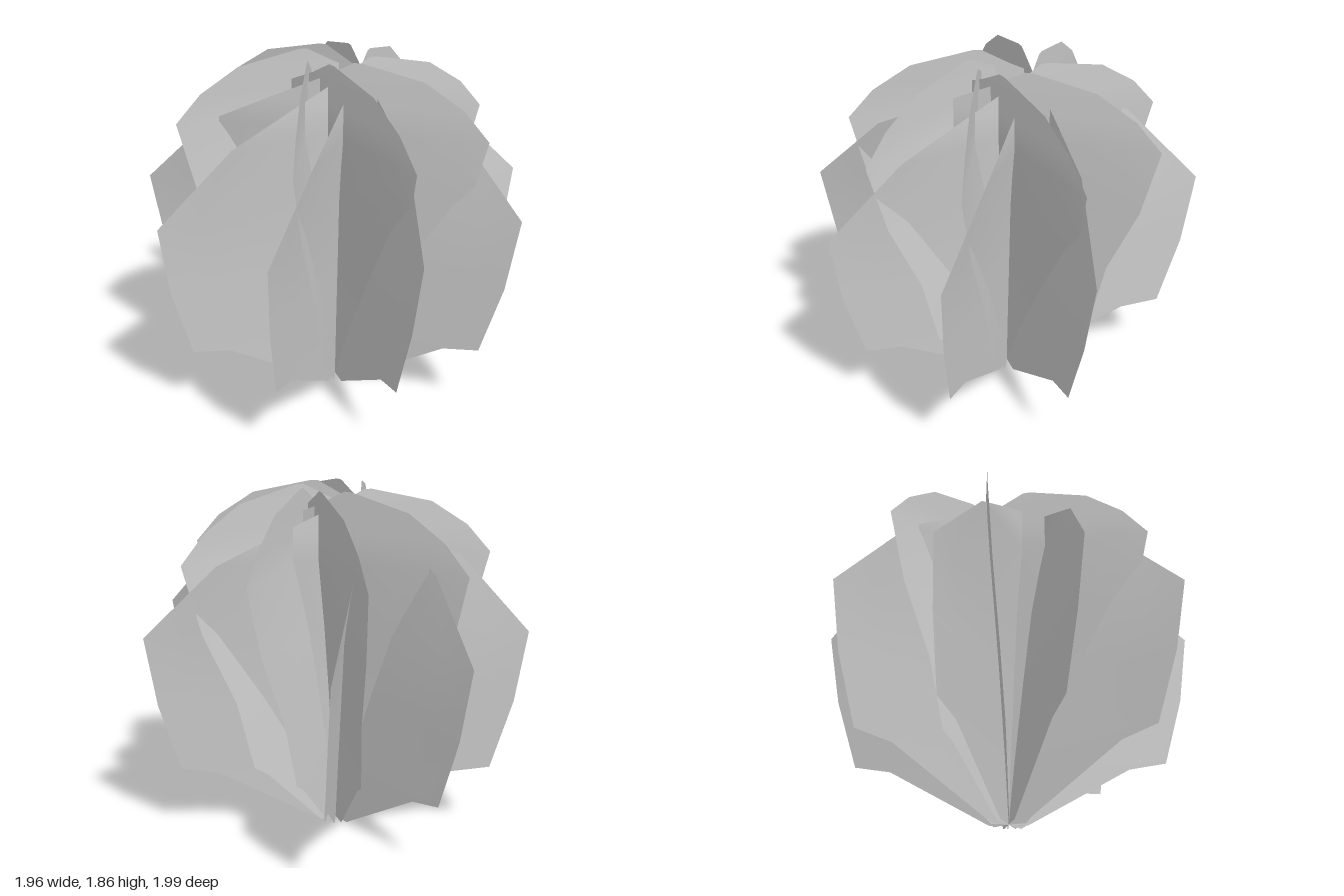
import * as THREE from 'three';

const RAD = Math.PI / 180;

// Cross-sections of one leaf from foot to crown:
// [height, wide end, its offset, narrow end, its offset], measured along and beside a line through the axis
const SECTIONS = [
  [0, -0.1, 0, 0.09, 0],
  [0.33, -0.64, 0.015, 0.4, 0.025],
  [0.375, -0.84, 0.015, 0.47, 0.03],
  [0.75, -0.95, 0.04, 0.55, 0.06],
  [1.13, -1.008, 0.063, 0.71, 0.1],
  [1.5, -0.635, 0.136, 0.8, 0.127],
  [1.65, -0.31, 0.133, 0.67, 0.127],
  [1.78, -0.02, 0.13, 0.475, 0.127],
  [1.855, 0.12, 0.127, 0.16, 0.127],
];

// Direction of each leaf's wide end around the axis, from +x towards +z
const LEAF_ANGLES = [338.3, 19.3, 61, 102, 143, 184, 224.6, 265.5];

// Thin bent leaf, ruled straight across each cross-section
function leafGeometry(steps = 8) {
  const pos = [], index = [], row = steps + 1;
  SECTIONS.forEach(([y, s0, d0, s1, d1]) => {
    for (let i = 0; i <= steps; i++) {
      const t = i / steps;
      pos.push(s0 + (s1 - s0) * t, y, d0 + (d1 - d0) * t);
    }
  });
  for (let j = 0; j < SECTIONS.length - 1; j++) {
    for (let i = 0; i < steps; i++) {
      const k = j * row + i;
      index.push(k, k + row, k + 1, k + 1, k + row, k + row + 1);
    }
  }
  const g = new THREE.BufferGeometry();
  g.setAttribute('position', new THREE.Float32BufferAttribute(pos, 3));
  g.setIndex(index);
  g.computeVertexNormals();
  return g;
}

export function createModel() {
  const model = new THREE.Group();
  model.name = 'leafCluster';
  const material = new THREE.MeshStandardMaterial({ color: 0xcccccc, side: THREE.DoubleSide });
  const geometry = leafGeometry();
  // Eight crossing leaves fanned around the axis
  LEAF_ANGLES.forEach((angle, i) => {
    const leaf = new THREE.Mesh(geometry, material);
    leaf.name = 'leaf' + (i + 1);
    leaf.position.set(0.03, 0, 0.01);
    leaf.rotation.y = -(angle - 176.4) * RAD;
    model.add(leaf);
  });
  return model;
}
